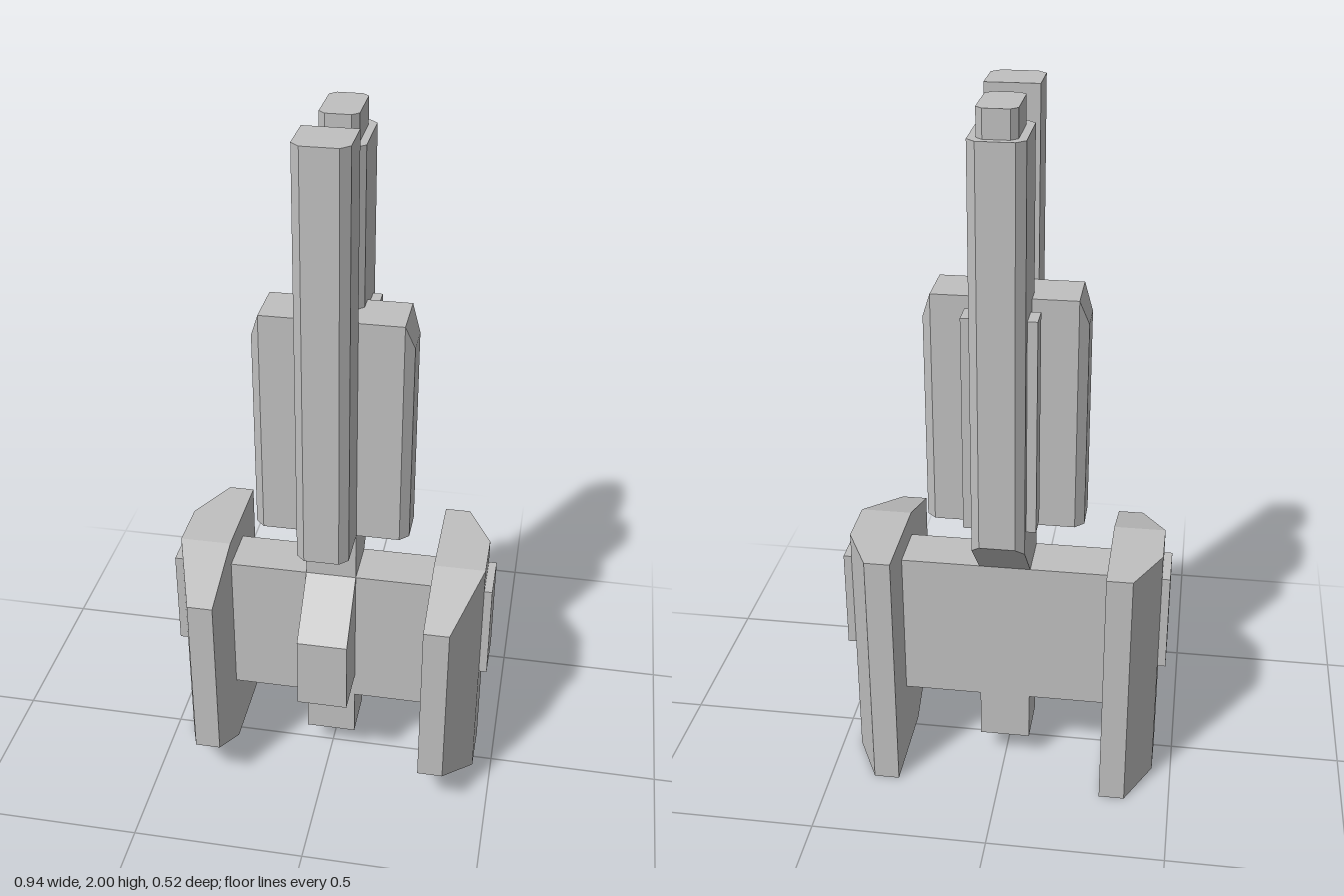
import * as THREE from 'three';
import { ConvexGeometry } from 'three/addons/geometries/ConvexGeometry.js';

export function createModel() {
  const model = new THREE.Group();
  const hullGrey = new THREE.MeshStandardMaterial({ color: 0xc0c0c0 });
  hullGrey.name = 'hullGrey';

  function add(name, geometry) {
    const mesh = new THREE.Mesh(geometry, hullGrey);
    mesh.name = name;
    model.add(mesh);
  }

  // Box given by its limits on each axis
  function box(name, x0, x1, y0, y1, z0, z1) {
    const g = new THREE.BoxGeometry(Math.abs(x1 - x0), y1 - y0, z1 - z0);
    g.translate((x0 + x1) / 2, (y0 + y1) / 2, (z0 + z1) / 2);
    add(name, g);
  }

  // Faceted solid around a set of corners
  function solid(name, corners) {
    add(name, new ConvexGeometry(corners.map((c) => new THREE.Vector3(...c))));
  }

  // Upright column: plan of [x, z] points, mirrored in x; bottom may slope with z
  function column(name, halfPlan, bottom, top) {
    const corners = [];
    for (const s of [-1, 1]) {
      for (const [x, z] of halfPlan) {
        corners.push([s * x, bottom(z), z], [s * x, top, z]);
      }
    }
    solid(name, corners);
  }

  const W = 0.073; // half width of the central parts
  const BACK = -0.112, FRONT = 0.036; // depth of the central slab

  // Central body, lower prong and neck
  box('body', -0.3, 0.3, 0.226, 0.667, BACK, FRONT);
  box('lowerProng', -W, W, 0.08, 0.226, BACK, FRONT);
  box('neck', -W, W, 0.667, 0.815, BACK, FRONT);

  // Nose wedge on the front of the body
  const nose = [];
  for (const x of [-W, W]) {
    nose.push([x, 0.3, FRONT], [x, 0.667, FRONT], [x, 0.3, 0.184], [x, 0.52, 0.184]);
  }
  solid('noseWedge', nose);

  // Wide upper block with bevelled sides
  const block = [];
  for (const s of [-1, 1]) {
    for (const [x, top, z0, z1] of [[0.196, 1.482, BACK, FRONT], [0.221, 1.41, -0.087, 0.011]]) {
      for (const z of [z0, z1]) block.push([s * x, 0.815, z], [s * x, top, z]);
    }
  }
  solid('upperBlock', block);

  // Front column, bevelled on its front edges
  column('frontColumn', [[W, FRONT], [W, 0.16], [0.049, 0.184]], () => 0.815, 2);

  // Rear column with a sloping foot, and its smaller cap
  column('rearColumn', [[0.049, -0.04], [W, -0.064], [W, -0.237], [0.049, -0.26]],
    (z) => 0.667 + BACK - z, 1.926);
  column('rearColumnCap', [[0.034, -0.064], [0.052, -0.082], [0.052, -0.222], [0.034, -0.24]],
    () => 1.926, 2);

  for (const [side, s] of [['left', 1], ['right', -1]]) {
    // Side pods: cross-sections along z as [z, outer x, bottom, top]
    const pod = [];
    for (const [z, x, y0, y1] of [
      [-0.26, 0.371, 0, 0.74], [BACK, 0.445, 0, 0.74],
      [FRONT, 0.445, 0, 0.74], [0.26, 0.371, 0.15, 0.667],
    ]) {
      for (const y of [y0, y1]) pod.push([s * 0.298, y, z], [s * x, y, z]);
    }
    solid(side + 'Pod', pod);
    box(side + 'PodPad', s * 0.44, s * 0.468, 0.374, 0.667, BACK, FRONT);

    // Raised strip on the side of the rear column
    box(side + 'ColumnStrip', s * 0.06, s * 0.1, 0.845, 1.457, -0.208, -0.138);
  }

  return model;
}
